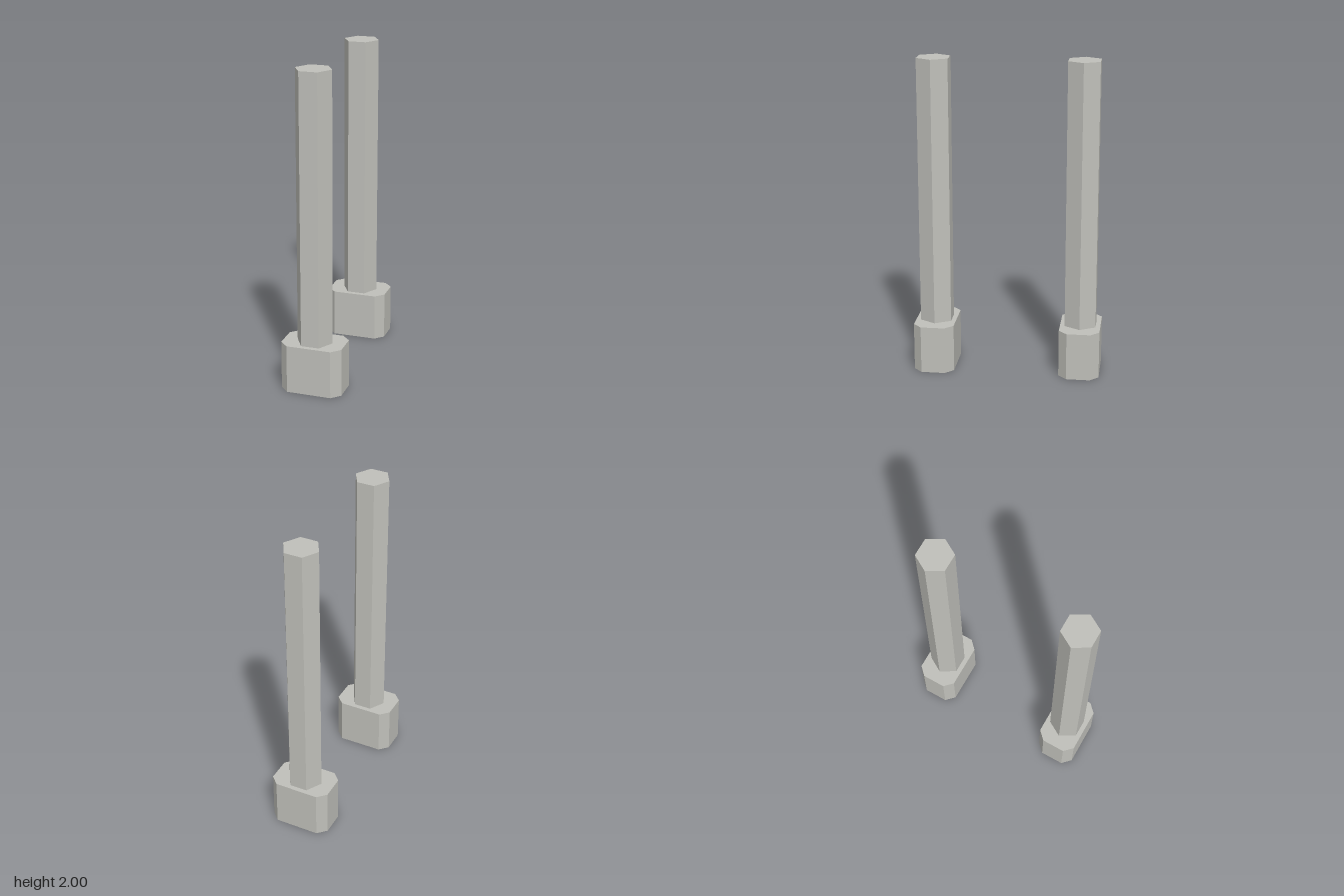
import * as THREE from 'three';

const BASE_HEIGHT = 0.305;
const POST_HEIGHT = 2 - BASE_HEIGHT;

// Rectangle with chamfered corners, extruded upward from y = 0
function chamferedBlock(halfX, halfZ, chamfer, height) {
  const corners = [];
  for (const [sx, sz, xFirst] of [[1, -1, true], [1, 1, false], [-1, 1, true], [-1, -1, false]]) {
    const alongX = new THREE.Vector2(sx * (halfX - chamfer), sz * halfZ);
    const alongZ = new THREE.Vector2(sx * halfX, sz * (halfZ - chamfer));
    corners.push(...(xFirst ? [alongX, alongZ] : [alongZ, alongX]));
  }
  const geometry = new THREE.ExtrudeGeometry(new THREE.Shape(corners), { depth: height, bevelEnabled: false });
  return geometry.rotateX(-Math.PI / 2);
}

export function createModel() {
  const model = new THREE.Group();
  const stone = new THREE.MeshStandardMaterial({ color: 0xc0c0ba, flatShading: true });
  stone.name = 'pale grey';

  const baseGeometry = chamferedBlock(0.193, 0.128, 0.053, BASE_HEIGHT);
  // Hexagonal post with corners pointing along x
  const postGeometry = new THREE.CylinderGeometry(0.113, 0.113, POST_HEIGHT, 6)
    .rotateY(Math.PI / 2)
    .translate(0, BASE_HEIGHT + POST_HEIGHT / 2, 0);

  // One pillar at the front and one at the back
  for (const [name, z] of [['front', 0.463], ['back', -0.463]]) {
    const pillar = new THREE.Group();
    pillar.name = `${name}Pillar`;
    const base = new THREE.Mesh(baseGeometry, stone);
    base.name = `${name}Base`;
    const post = new THREE.Mesh(postGeometry, stone);
    post.name = `${name}Post`;
    pillar.add(base, post);
    pillar.position.z = z;
    model.add(pillar);
  }
  return model;
}
